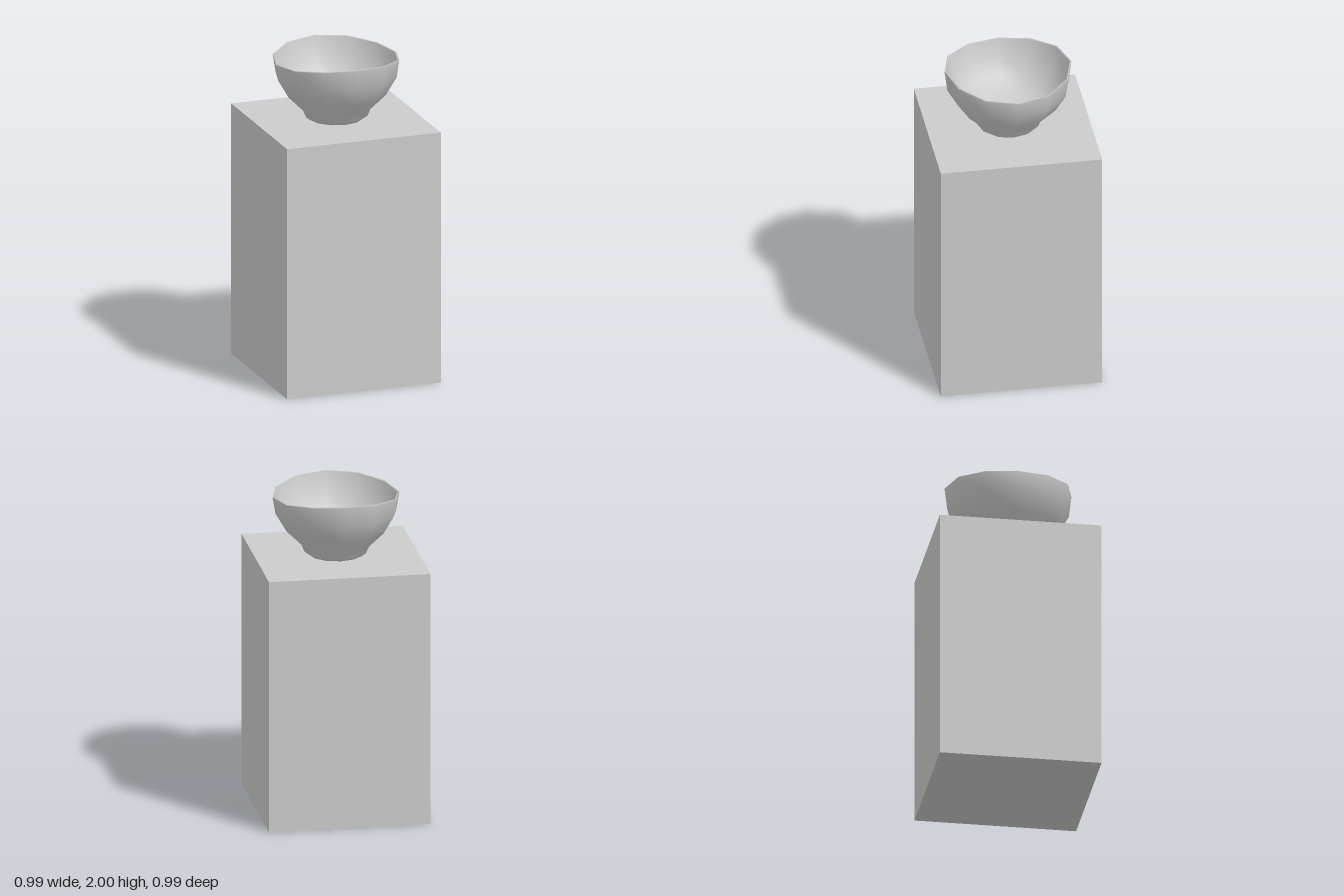
import * as THREE from 'three';

export function createModel() {
  const model = new THREE.Group();
  const material = new THREE.MeshStandardMaterial({ color: 0xcccccc });

  // Square pedestal
  const height = 1.585;
  const pedestal = new THREE.Mesh(new THREE.BoxGeometry(0.99, height, 0.99), material);
  pedestal.name = 'pedestal';
  pedestal.position.y = height / 2;
  model.add(pedestal);

  // Twelve-sided bowl: underside, outer wall, lip, inner wall, floor
  const profile = [
    [0, 1.59], [0.167, 1.59], [0.193, 1.61], [0.213, 1.655], [0.304, 1.745],
    [0.372, 1.86], [0.389, 1.96], [0.384, 1.966], [0.376, 1.96],
    [0.358, 1.86], [0.292, 1.757], [0.2, 1.668], [0, 1.66],
  ].map(([r, y]) => new THREE.Vector2(r, y));
  const geometry = new THREE.LatheGeometry(profile, 12);

  // The rim rises gently towards front and back
  const pos = geometry.attributes.position;
  for (let i = 0; i < pos.count; i++) {
    const y = pos.getY(i);
    if (y < 1.95) continue;
    const x = pos.getX(i), z = pos.getZ(i);
    pos.setY(i, y + 0.034 * z * z / (x * x + z * z));
  }
  const bowl = new THREE.Mesh(geometry, material);
  bowl.name = 'bowl';
  model.add(bowl);

  return model;
}
